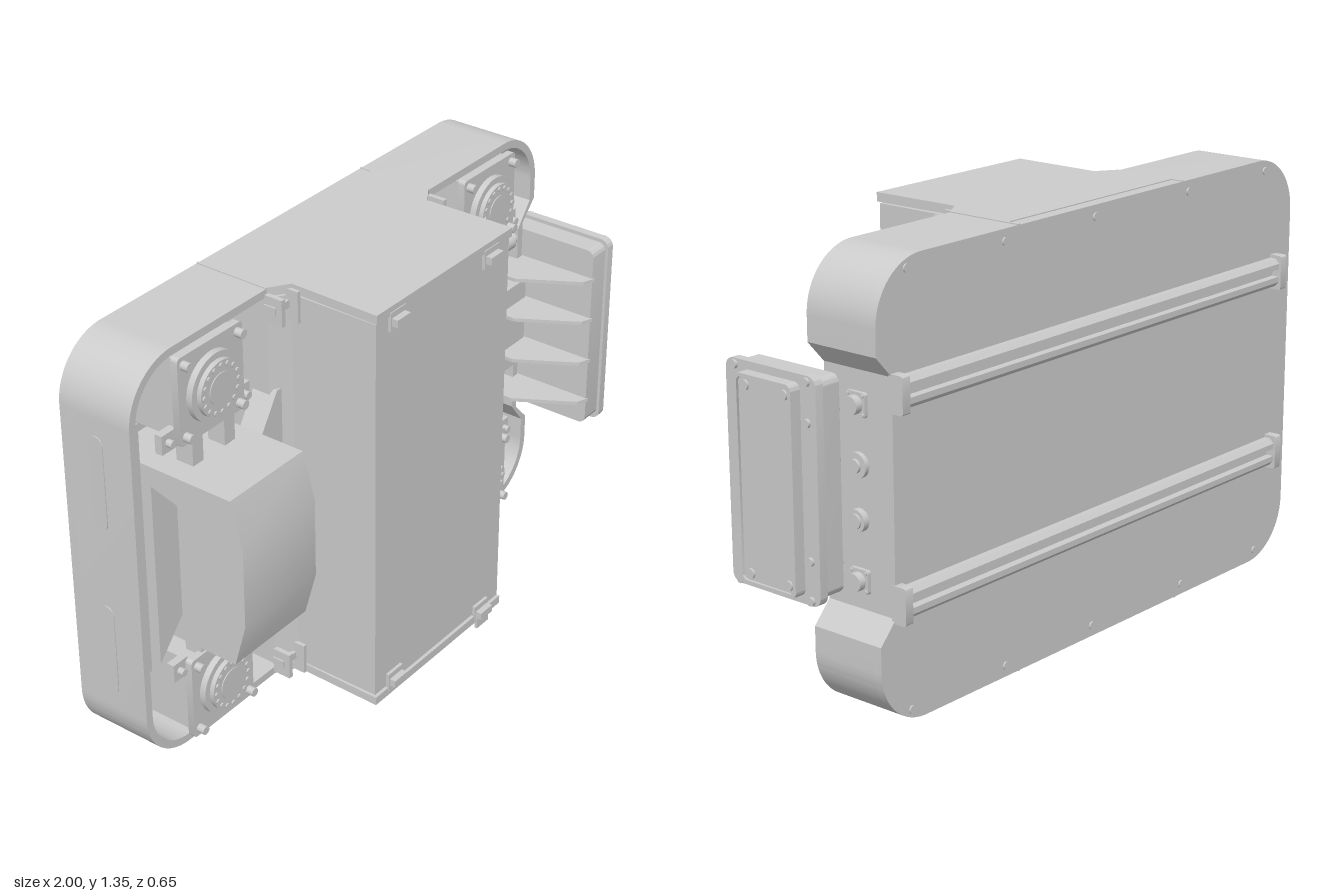
import * as THREE from 'three';
import { toCreasedNormals } from 'three/addons/utils/BufferGeometryUtils.js';

const mat = new THREE.MeshStandardMaterial({ color: 0xcccccc, side: THREE.DoubleSide });
const MID = 0.682; // height of the horizontal mirror plane
const flip = (y) => 2 * MID - y;

export function createModel() {
  const root = new THREE.Group();
  let target = root;
  const add = (name, geo) => {
    const m = new THREE.Mesh(geo, mat);
    m.name = name;
    target.add(m);
    return m;
  };
  const group = (name, build) => {
    const g = new THREE.Group();
    g.name = name;
    root.add(g);
    target = g;
    build();
    target = root;
  };
  // box from min/max limits
  const box = (name, x0, x1, y0, y1, z0, z1) => {
    const g = new THREE.BoxGeometry(x1 - x0, y1 - y0, z1 - z0);
    g.translate((x0 + x1) / 2, (y0 + y1) / 2, (z0 + z1) / 2);
    return add(name, g);
  };
  const poly = (pts) => new THREE.Shape(pts.map(([a, b]) => new THREE.Vector2(a, b)));
  const extrude = (shape, depth) => toCreasedNormals(
    new THREE.ExtrudeGeometry(shape, { depth, bevelEnabled: false, curveSegments: 14 }), 0.5);
  // extrusions along each axis: shapes are (x,y), (-z,y) and (x,-z)
  const alongZ = (name, s, z0, z1) => add(name, extrude(s, z1 - z0).translate(0, 0, z0));
  const alongX = (name, s, x0, x1) => add(name, extrude(s, x1 - x0).rotateY(Math.PI / 2).translate(x0, 0, 0));
  const alongY = (name, s, y0, y1) => add(name, extrude(s, y1 - y0).rotateX(-Math.PI / 2).translate(0, y0, 0));
  // cylinder pointing along z or x, starting at p
  const knob = (name, r, len, p, axis = 'z', sides = 20) => {
    const g = new THREE.CylinderGeometry(r, r, len, sides).translate(0, len / 2, 0);
    if (axis === 'z') g.rotateX(Math.PI / 2); else g.rotateZ(-Math.PI / 2);
    return add(name, g.translate(...p));
  };
  const roundRect = (a0, a1, b0, b1, r, Type = THREE.Shape) => {
    const s = new Type();
    s.absarc(a1 - r, b1 - r, r, 0, Math.PI / 2);
    s.absarc(a0 + r, b1 - r, r, Math.PI / 2, Math.PI);
    s.absarc(a0 + r, b0 + r, r, Math.PI, Math.PI * 1.5);
    s.absarc(a1 - r, b0 + r, r, Math.PI * 1.5, Math.PI * 2);
    s.closePath();
    return s;
  };

  // tray outline: rounded corners with a notch on the +x edge
  const outline = (d, Type) => {
    const s = new Type(), r = 0.18 - d, L = -1 + d, R = 0.92 - d, B = 0.02 + d, T = 1.345 - d;
    s.moveTo(R - 0.06, 0.34 + d / 2);
    s.lineTo(R - 0.06, 1.025 - d / 2);
    s.lineTo(R, 1.09);
    s.absarc(R - r, T - r, r, 0, Math.PI / 2);
    s.absarc(L + r, T - r, r, Math.PI / 2, Math.PI);
    s.absarc(L + r, B + r, r, Math.PI, Math.PI * 1.5);
    s.absarc(R - r, B + r, r, Math.PI * 1.5, Math.PI * 2);
    s.lineTo(R, 0.275);
    s.closePath();
    return s;
  };
  group('tray', () => {
    const rim = outline(0, THREE.Shape);
    rim.holes.push(outline(0.025, THREE.Path));
    alongZ('trayWall', rim, -0.265, -0.04);
    alongZ('backPlate', outline(0, THREE.Shape), -0.29, -0.265);
    box('sideLiner', -0.97, -0.955, 0.35, 1.17, -0.265, -0.05);
    // screws around the back edge
    for (const x of [-0.85, -0.45, 0, 0.4, 0.8]) for (const y of [0.055, 1.31])
      knob('backScrew', 0.012, 0.006, [x, y, -0.295]);
    // stadium panels on the -x wall
    for (const y of [0.4, 0.96]) alongX('sidePanel', roundRect(0.14, 0.19, y - 0.15, y + 0.15, 0.024), -1.003, -0.99);
  });

  // slotted rails across the back
  group('backRails', () => {
    for (const y of [0.98, flip(0.98)]) {
      const p = [[0.28, -0.045], [0.31, -0.045], [0.325, -0.03], [0.325, -0.012], [0.3, -0.012],
        [0.3, 0.012], [0.325, 0.012], [0.325, 0.03], [0.31, 0.045], [0.28, 0.045]];
      alongX('rail', poly(p.map(([a, b]) => [a, y + b])), -0.9, 0.84);
      for (const [a, b] of [[-0.925, -0.895], [0.835, 0.865]])
        alongX('railEnd', roundRect(0.28, 0.332, y - 0.055, y + 0.055, 0.008), a, b);
    }
  });

  // tall central housing with end caps
  group('centralHousing', () => {
    const p = [[-0.42, 0.285], [0.34, 0.285], [0.34, 0.04], [0.28, 0], [0.28, -0.29],
      [-0.36, -0.29], [-0.36, 0], [-0.42, 0.04]];
    alongY('housingBody', poly(p), 0.05, 1.315);
    for (const [a, b] of [[0.018, 0.045], [1.32, 1.348]]) {
      alongY('endCap', poly([[-0.42, 0.25], [0.34, 0.25], ...p.slice(2, 4), [0.285, -0.297],
        [-0.365, -0.297], ...p.slice(6)]), a, b);
      box('capSeam', -0.36, 0.28, a + 0.005, b - 0.005, -0.28, 0.28);
    }
    for (const x of [-0.42, 0.34]) for (const y of [0.018, 1.34]) box('seam', x - 0.004, x + 0.004, y, y + 0.008, -0.29, -0.04);
    // latches on the front and hinges on the sides
    for (const x of [-0.27, 0.18]) for (const top of [0, 1]) {
      const y = top ? 1.3 : (x > 0 ? 0.05 : 0.065);
      box('latchPlate', x - 0.035, x + 0.035, y - 0.03, y + 0.03, 0.28, 0.3);
      box('latchHook', x - 0.03, x + 0.03, y - 0.012, y + 0.012, 0.3, 0.32);
    }
    box('latchTongue', 0.15, 0.21, 0, 0.045, 0.297, 0.306);
    for (const [x, s] of [[-0.36, -1], [0.28, 1]]) for (const y of [1.29, flip(1.29)]) {
      const lim = (a, b) => [Math.min(x + s * a, x + s * b), Math.max(x + s * a, x + s * b)];
      box('hingeLeaf', ...lim(0, 0.012), y - 0.055, y + 0.045, -0.02, 0.03);
      box('hingeArm', ...lim(0, 0.075), y - 0.012, y + 0.012, -0.04, 0.0);
      box('hingeTab', ...lim(0.055, 0.07), y - 0.045, y + 0.04, -0.04, 0.02);
    }
  });

  // tapered web plates on both sides of the housing
  group('webPlates', () => {
    const mirror = (pts) => [...pts, ...pts.slice().reverse().map(([x, y]) => [x, flip(y)])];
    const right = poly(mirror([[0.27, 1.02], [0.33, 1.02], [0.44, 0.83], [0.86, 0.83]]));
    right.holes.push(roundRect(0.58, 0.655, 0.6, 0.77, 0.037, THREE.Path));
    alongZ('rightWeb', right, -0.1, -0.02);
    alongZ('leftWeb', poly(mirror([[-0.35, 1.02], [-0.41, 1.02], [-0.53, 0.83], [-0.82, 0.83], [-0.95, 0.98]])), -0.1, -0.02);
  });

  // faceted motor covers
  const cover = (x0, x1, y, z, zf, slope) => alongX('motorCover', poly([[-z, y], [-(zf - 0.04), y], [-zf, y - slope],
    [-zf, flip(y - slope)], [-(zf - 0.04), flip(y)], [-z, flip(y)]]), x0, x1);
  group('motors', () => {
    cover(-0.85, -0.535, 0.955, -0.26, 0.21, 0.145);
    cover(0.49, 0.765, 0.92, -0.26, -0.03, 0.09);
    for (const y of [0.94, flip(1.06)]) for (const x of [-0.755, -0.62])
      box('motorLink', x - 0.022, x + 0.022, y, y + 0.12, -0.08, -0.02);
    // roller shafts beside the right-hand units
    const rod = new THREE.CylinderGeometry(0.018, 0.018, 0.26, 16).rotateZ(Math.PI / 2);
    add('rollerShaft', rod.translate(0.63, 1.02, -0.01));
    for (const x of [0.52, 0.62, 0.72]) add('rollerCollar',
      new THREE.CylinderGeometry(0.027, 0.027, 0.04, 16).rotateZ(Math.PI / 2).translate(x, 1.02, -0.01));
    for (const x of [0.53, 0.73]) box('rollerArm', x - 0.012, x + 0.012, 0.92, 1.02, -0.06, -0.02);
  });

  // four square drive units with bolted round flanges
  for (const x of [-0.697, 0.624]) for (const y of [1.182, flip(1.182)]) group('driveUnit', () => {
    const dir = y > MID ? -1 : 1;
    box('driveBlock', x - 0.12, x + 0.12, y - 0.125, y + 0.125, -0.27, -0.03);
    alongZ('drivePlate', roundRect(x - 0.135, x + 0.135, y - 0.138, y + 0.138, 0.012), -0.035, -0.012);
    knob('flange', 0.105, 0.02, [x, y, -0.012], 'z', 36);
    knob('rotor', 0.085, 0.02, [x, y, 0.003], 'z', 36);
    knob('hub', 0.05, 0.006, [x, y, 0.02], 'z', 28);
    for (let i = 0; i < 16; i++) {
      const a = i * Math.PI / 8;
      knob('flangeBolt', 0.008, 0.006, [x + 0.072 * Math.cos(a), y + 0.072 * Math.sin(a), 0.022], 'z', 8);
    }
    for (const sx of [-1, 1]) {
      for (const sy of [-1, 1]) knob('cornerBolt', 0.014, 0.025, [x + sx * 0.112, y + sy * 0.112, -0.012], 'z', 12);
      const cx = x + sx * 0.155, cy = y + dir * 0.115;
      box('mountTab', cx - 0.03, cx + 0.03, cy - 0.03, cy + 0.03, -0.06, -0.035);
      knob('tabBolt', 0.012, 0.02, [cx + sx * 0.005, cy, -0.035], 'z', 12);
    }
  });

  // connector box on the +x side, with ribs to the web
  group('connectorBox', () => {
    alongX('boxBody', roundRect(-0.225, 0.1, 0.37, 1.0, 0.025), 0.865, 0.945);
    alongX('boxFlange', roundRect(-0.235, 0.108, 0.355, 1.012, 0.03), 0.935, 0.963);
    const frame = roundRect(-0.168, 0.05, 0.378, 0.988, 0.02);
    frame.holes.push(roundRect(-0.157, 0.039, 0.389, 0.977, 0.015, THREE.Path));
    alongX('lidFrame', frame, 0.96, 1.0);
    alongX('lid', roundRect(-0.16, 0.042, 0.385, 0.98, 0.015), 0.96, 0.992);
    for (const z of [0.13, -0.018]) for (const y of [0.41, 0.955]) knob('lidScrew', 0.015, 0.007, [0.992, y, z], 'x', 14);
    for (const z of [0.2, -0.075]) for (const y of [0.37, 0.485, 0.88, 0.995])
      knob('boxScrew', 0.013, 0.01, [0.962, y, z], 'x', 14);
    const rib = poly([[0.72, 0.04], [0.72, -0.03], [0.83, -0.215], [0.87, -0.23], [0.87, 0.1]]);
    for (const y of [0.46, 0.607, 0.757, 0.9]) alongY('rib', rib, y - 0.006, y + 0.006);
  });

  // sockets and buttons on the notch wall
  group('sidePorts', () => {
    for (const y of [0.93, 0.425]) {
      alongX('socketPlate', roundRect(0.13, 0.2, y - 0.035, y + 0.035, 0.008), 0.855, 0.872);
      knob('socket', 0.027, 0.035, [0.86, y, -0.165], 'x');
      for (const dy of [-0.027, 0.027]) for (const dz of [-0.027, 0.027])
        knob('socketScrew', 0.006, 0.005, [0.872, y + dy, -0.165 + dz], 'x', 8);
    }
    knob('buttonRing', 0.037, 0.015, [0.86, 0.757, -0.165], 'x', 28);
    knob('button', 0.02, 0.025, [0.86, 0.757, -0.165], 'x', 24);
    knob('portRing', 0.033, 0.02, [0.86, 0.6, -0.165], 'x', 28);
    knob('port', 0.022, 0.027, [0.86, 0.6, -0.165], 'x', 24);
  });
  return root;
}
